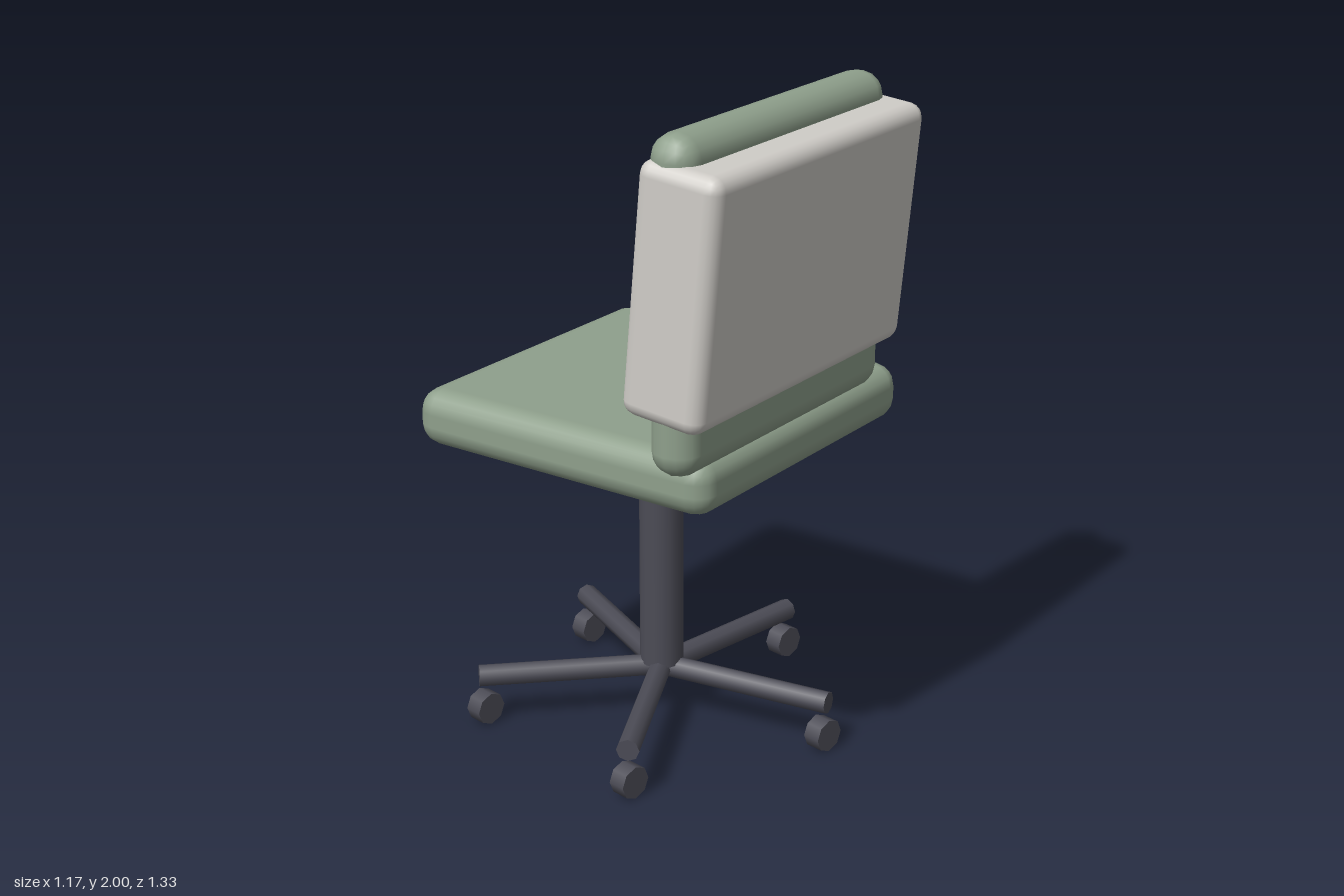
import * as THREE from 'three';
import { RoundedBoxGeometry } from 'three/addons/geometries/RoundedBoxGeometry.js';

const YAW = THREE.MathUtils.degToRad(10);
const BASE_Z = -0.088; // centre of seat, column and base

function material(name, color) {
  const m = new THREE.MeshStandardMaterial({ color });
  m.name = name;
  return m;
}

export function createModel() {
  const chair = new THREE.Group();
  chair.name = 'swivelChair';
  const green = material('sageGreen', 0x8fa08c);
  const pale = material('paleGrey', 0xd0cdc8);
  const dark = material('darkMetal', 0x4c4c56);

  const add = (parent, name, geometry, mat, x, y, z) => {
    const mesh = new THREE.Mesh(geometry, mat);
    mesh.name = name;
    mesh.position.set(x, y, z);
    parent.add(mesh);
    return mesh;
  };

  // Upholstery: padded blocks swivelled together
  const pad = (name, w, h, d, r, mat, x, y, z, tilt = 0) => {
    const mesh = add(chair, name, new RoundedBoxGeometry(w, h, d, 2, r), mat, x, y, z);
    mesh.rotation.set(tilt, YAW, 0, 'YXZ');
  };
  pad('seat', 1.02, 0.17, 1.02, 0.066, green, 0, 1, BASE_Z);
  pad('backrest', 0.982, 0.925, 0.145, 0.07, green, -0.065, 1.5375, 0.405);
  pad('cushion', 1.016, 0.7, 0.256, 0.042, pale, -0.061, 1.578, 0.425, THREE.MathUtils.degToRad(5.3));

  // Column
  const base = new THREE.Group();
  base.name = 'base';
  base.position.z = BASE_Z;
  chair.add(base);
  add(base, 'column', new THREE.CylinderGeometry(0.066, 0.066, 0.78, 16), dark, 0, 0.56, 0);

  // Five-star foot with castors that all roll the same way
  const armLength = 0.555;
  const armGeometry = new THREE.CylinderGeometry(0.034, 0.034, armLength, 8)
    .rotateZ(-Math.PI / 2).translate(armLength / 2, 0, 0);
  const wheelGeometry = new THREE.CylinderGeometry(0.05, 0.05, 0.055, 8).rotateX(Math.PI / 2);
  for (let i = 0; i < 5; i++) {
    const a = (i * Math.PI * 2) / 5;
    add(base, 'footArm', armGeometry, dark, 0, 0.153, 0).rotation.y = -a;
    add(base, 'castor', wheelGeometry, dark, 0.538 * Math.cos(a), 0.05, 0.538 * Math.sin(a));
  }
  return chair;
}
